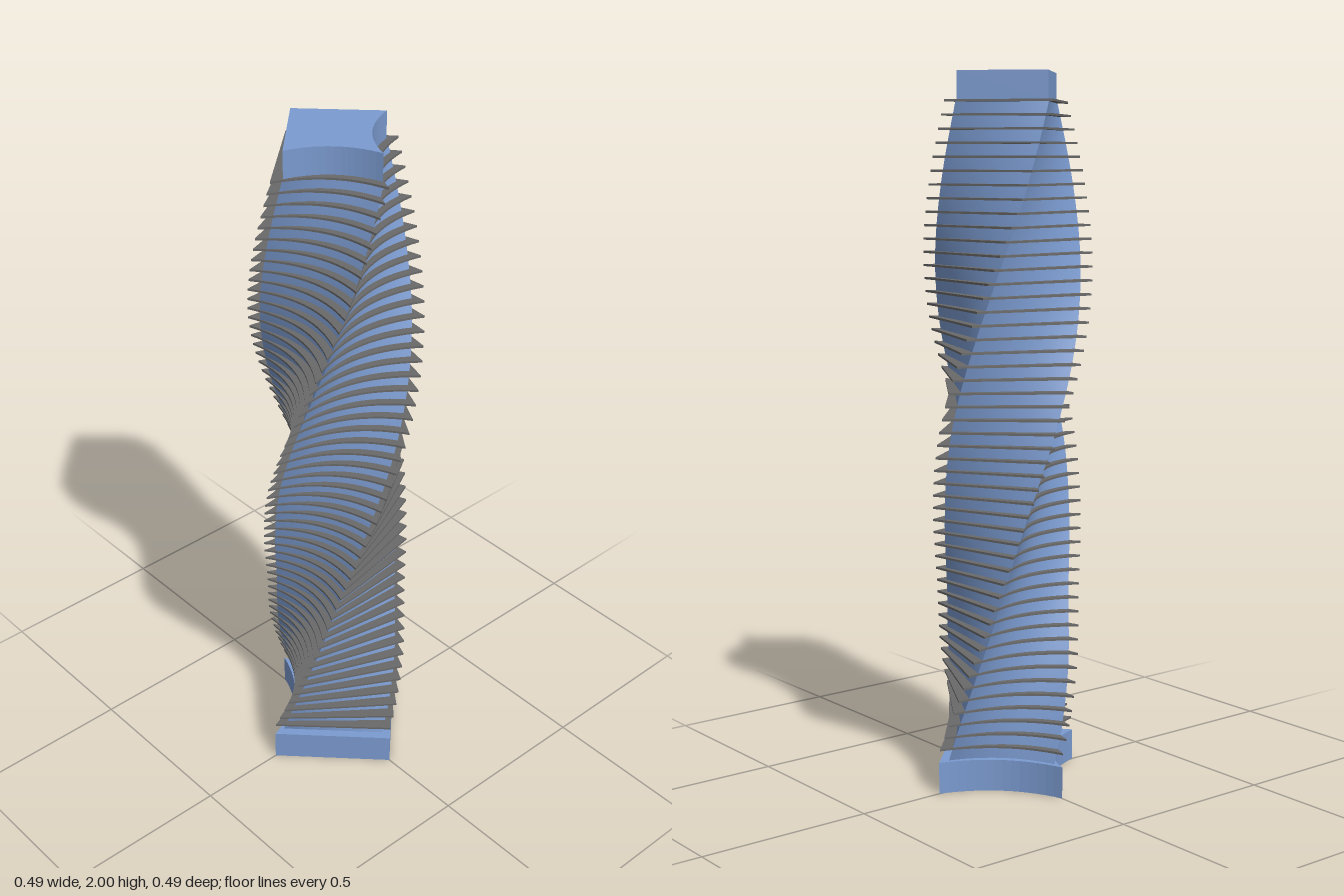
import * as THREE from 'three';

const BASE_TOP = 0.09, CAP_BOTTOM = 1.92, HEIGHT = 2;
const FLOORS = 49, SLAB_SCALE = 1.17, SLAB_THICKNESS = 0.006;

// Corner radius of the tower at a given height
const radiusCurve = new THREE.SplineCurve([
  [0.09, 0.21], [0.33, 0.193], [0.58, 0.174], [0.83, 0.183],
  [1.05, 0.2], [1.27, 0.207], [1.48, 0.203], [1.7, 0.19], [1.92, 0.178],
].map(([y, r]) => new THREE.Vector2(y, r)));

const progress = (y) => THREE.MathUtils.clamp((y - BASE_TOP) / (CAP_BOTTOM - BASE_TOP), 0, 1);
const radiusAt = (y) => radiusCurve.getPoint(progress(y)).y;
const twistAt = (y) => Math.PI * progress(y);

// Floor plan: a diamond with two straight sides and two hollow ones
function plan(r) {
  const s = new THREE.Shape();
  const c = 0.24 * r;
  s.moveTo(r, 0);
  s.quadraticCurveTo(c, c, 0, r);
  s.quadraticCurveTo(-c, c, -r, 0);
  s.lineTo(0, -r);
  s.lineTo(r, 0);
  return s;
}

// Upright prism of the floor plan, turned about y
function prism(name, r, y, height, angle, material) {
  const geometry = new THREE.ExtrudeGeometry(plan(r), { depth: height, bevelEnabled: false, curveSegments: 14 });
  geometry.rotateX(-Math.PI / 2);
  const mesh = new THREE.Mesh(geometry, material);
  mesh.name = name;
  mesh.position.y = y;
  mesh.rotation.y = angle;
  return mesh;
}

// Four twisted walls, each a separate smooth strip so the ridges stay sharp
function twistedWalls() {
  const rows = 98, cols = 14;
  const positions = [], indices = [];
  for (const side of plan(1).curves) {
    const start = positions.length / 3;
    const points = side.getPoints(cols);
    const n = cols + 1;
    const line = Array.from({ length: n }, (_, i) => points[i] ?? side.getPoint(i / cols));
    if (points.length !== n) line.forEach((p, i) => { line[i] = side.getPoint(i / cols); });
    for (let j = 0; j <= rows; j++) {
      const y = THREE.MathUtils.lerp(BASE_TOP, CAP_BOTTOM, j / rows);
      const r = radiusAt(y), a = twistAt(y);
      for (const p of line) {
        const v = new THREE.Vector3(p.x * r, y, -p.y * r).applyAxisAngle(THREE.Object3D.DEFAULT_UP, a);
        positions.push(v.x, v.y, v.z);
      }
    }
    for (let j = 0; j < rows; j++) {
      for (let i = 0; i < cols; i++) {
        const a = start + j * n + i, b = a + 1, c = a + n, d = c + 1;
        indices.push(a, b, d, a, d, c);
      }
    }
  }
  const geometry = new THREE.BufferGeometry();
  geometry.setAttribute('position', new THREE.Float32BufferAttribute(positions, 3));
  geometry.setIndex(indices);
  geometry.computeVertexNormals();
  return geometry;
}

export function createModel() {
  const model = new THREE.Group();
  model.name = 'twistedTower';
  const glass = new THREE.MeshStandardMaterial({ color: 0x7b9bd0 });
  const slabGrey = new THREE.MeshStandardMaterial({ color: 0x6a6a6a });

  // Wide plinth and straight roof block
  model.add(prism('base', 0.245, 0, BASE_TOP, 0, glass));
  model.add(prism('roofBlock', 0.175, CAP_BOTTOM, HEIGHT - CAP_BOTTOM, Math.PI, glass));

  // Twisted glass core
  const core = new THREE.Mesh(twistedWalls(), glass);
  core.name = 'core';
  model.add(core);

  // Projecting floor slabs following the twist
  const slabs = new THREE.Group();
  slabs.name = 'floorSlabs';
  for (let i = 0; i < FLOORS; i++) {
    const y = THREE.MathUtils.lerp(0.127, CAP_BOTTOM, i / (FLOORS - 1));
    const angle = twistAt(y - 0.03);
    slabs.add(prism('floorSlab', radiusAt(y) * SLAB_SCALE, y - SLAB_THICKNESS / 2, SLAB_THICKNESS, angle, slabGrey));
  }
  model.add(slabs);
  return model;
}
